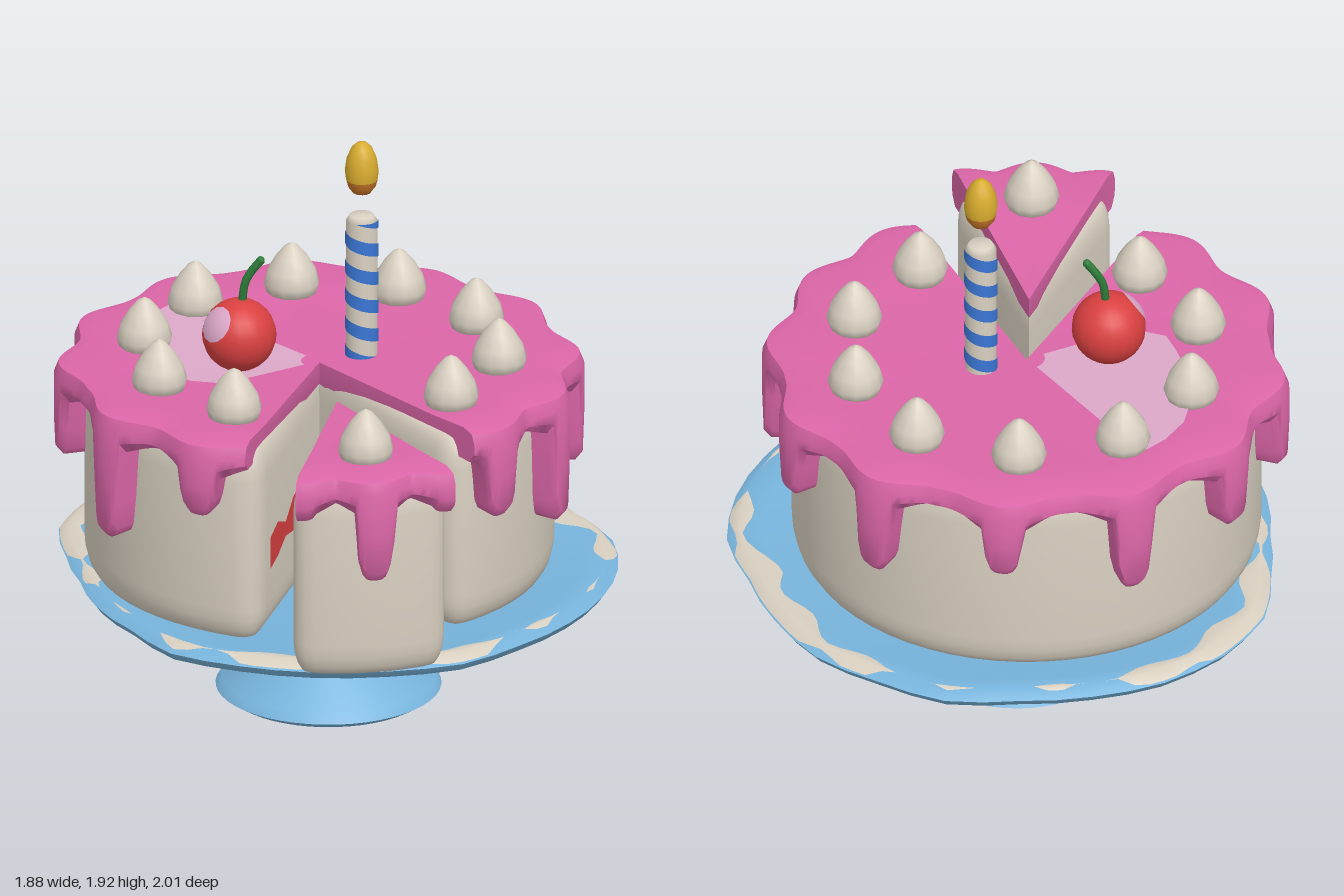
import * as THREE from 'three';
import { toCreasedNormals } from 'three/addons/utils/BufferGeometryUtils.js';

const RAD = Math.PI / 180;

function material(name, color, side = THREE.FrontSide) {
  const m = new THREE.MeshStandardMaterial({ color, side });
  m.name = name;
  return m;
}

const mats = {
  cream: material('cream', 0xd9d0c1),
  rim: material('cream', 0xd9d0c1, THREE.DoubleSide),
  plate: material('plateBlue', 0x78b4dc),
  pink: material('pinkIcing', 0xdc66a8),
  pale: material('paleShine', 0xdca8c8, THREE.DoubleSide),
  red: material('red', 0xda4040, THREE.DoubleSide),
  green: material('stemGreen', 0x2c7a38),
  blue: material('candleBlue', 0x3a76d4),
  yellow: material('flameYellow', 0xd8ac2e),
  orange: material('flameOrange', 0xc9762a),
};
mats.rim = mats.cream;

// Sweeps a (radius, height) section around y; angles in degrees from +z towards +x.
function sweep(a0, a1, step, section, capped = false, crease = 0.9) {
  const pos = [], index = [];
  const n = Math.ceil((a1 - a0) / step);
  let m = 0;
  for (let i = 0; i <= n; i++) {
    const a = a0 + (a1 - a0) * i / n;
    const pts = section(a);
    m = pts.length;
    for (const [r, y] of pts) pos.push(r * Math.sin(a * RAD), y, r * Math.cos(a * RAD));
  }
  for (let i = 0; i < n; i++) {
    for (let j = 0; j < m - 1; j++) {
      const a = i * m + j, b = a + m;
      index.push(a, a + 1, b, b, a + 1, b + 1);
    }
  }
  if (capped) {
    const e = n * m;
    for (let j = 0; j < m - 2; j++) {
      index.push(m - 1, j + 1, j, e + m - 1, e + j, e + j + 1);
    }
  }
  const g = new THREE.BufferGeometry();
  g.setAttribute('position', new THREE.Float32BufferAttribute(pos, 3));
  g.setIndex(index);
  return toCreasedNormals(g, crease);
}

function add(parent, name, geometry, mat, x = 0, y = 0, z = 0) {
  const mesh = new THREE.Mesh(geometry, mat);
  mesh.name = name;
  mesh.position.set(x, y, z);
  parent.add(mesh);
  return mesh;
}

const lathe = (pts, sides) =>
  new THREE.LatheGeometry(pts.map(([r, y]) => new THREE.Vector2(r, y)), sides);

// Uneven plate edge, one radius every 15 degrees
const edge = [.94, .95, .96, .98, .95, .945, .945, .95, .95, .91, .92, .94,
  .93, .95, .92, .93, .95, .95, .93, .86, .83, .85, .87, .94];
function plateRadius(a) {
  const t = (((a % 360) + 360) % 360) / 15, i = Math.floor(t), f = t - i;
  return edge[i % 24] * (1 - f) + edge[(i + 1) % 24] * f;
}

// Sponge wedge with rounded corners and softened top and bottom
function spongeGeometry(a0, a1, r) {
  const at = (a, s = r) => [s * Math.sin(a * RAD), -s * Math.cos(a * RAD)];
  const c = 7;
  const shape = new THREE.Shape();
  shape.moveTo(0, 0);
  shape.lineTo(...at(a0, r * 0.87));
  shape.quadraticCurveTo(...at(a0), ...at(a0 + c));
  const n = Math.ceil((a1 - a0 - 2 * c) / 6);
  for (let i = 1; i <= n; i++) shape.lineTo(...at(a0 + c + (a1 - a0 - 2 * c) * i / n));
  shape.quadraticCurveTo(...at(a1), ...at(a1, r * 0.87));
  const g = new THREE.ExtrudeGeometry(shape, {
    depth: 0.45, bevelThickness: 0.11, bevelSize: 0.045, bevelOffset: -0.045,
    bevelSegments: 4, curveSegments: 5,
  });
  g.rotateX(-Math.PI / 2);
  g.translate(0, 0.58, 0);
  return toCreasedNormals(g, 0.7);
}

// Icing cap whose edge swells and runs down at each drip [angle, bottom height]
function icingGeometry(a0, a1, R0, drips) {
  return sweep(a0, a1, 1, (a) => {
    let bump = 0, low = 1.1;
    for (const [c, y] of drips) {
      const d = Math.abs(a - c);
      if (d < 14) bump = Math.max(bump, 0.5 + 0.5 * Math.cos(d / 14 * Math.PI));
      const w = 4.3 * 0.86 / R0;
      if (d < w) low = Math.min(low, 1.08 - (1.08 - y) * Math.sqrt(1 - (d / w) ** 4));
    }
    low = Math.min(low, 1.1 - 0.05 * bump);
    const R = R0 + 0.055 * bump, inner = R0 - 0.08;
    return [[0, 1.165], [R0 - 0.2, 1.18], [R - 0.06, 1.19], [R - 0.015, 1.178], [R, 1.14],
      [R, (1.14 + low) / 2], [R - 0.005, low + 0.03], [R - 0.03, low], [inner, low + 0.01], [0, 1.09]];
  }, true);
}

// Thin jam strip lying on a cut wall
function jamGeometry(length) {
  const top = [.80, .78, .84, .83, .78, .82, .80], bottom = [.71, .72, .69, .71, .73, .70, .69];
  const xs = top.map((_, i) => 0.05 + (length - 0.05) * i / 6);
  const pts = xs.map((x, i) => new THREE.Vector2(x, top[i]));
  for (let i = 6; i >= 0; i--) pts.push(new THREE.Vector2(xs[i], bottom[i]));
  return new THREE.ShapeGeometry(new THREE.Shape(pts));
}

function cakePiece(name, x, z, sponge, icing, r, icingR, drips) {
  const piece = new THREE.Group();
  piece.name = name;
  piece.position.set(x, 0, z);
  add(piece, 'sponge', spongeGeometry(...sponge, r), mats.cream);
  add(piece, 'icing', icingGeometry(...icing, icingR, drips), mats.pink);
  sponge.forEach((a, i) => {
    const o = (i ? 1 : -1) * 0.004;
    const jam = add(piece, 'jamFilling', jamGeometry(r * 0.84), mats.red,
      o * Math.cos(a * RAD), 0, -o * Math.sin(a * RAD));
    jam.rotation.y = (a - 90) * RAD;
  });
  return piece;
}

export function createModel() {
  const model = new THREE.Group();
  model.name = 'cakeOnStand';

  // Cake stand
  add(model, 'cakeStand', sweep(0, 360, 7.5, (a) => {
    const R = plateRadius(a);
    return [[0, .465], [R - .12, .46], [R - .04, .478], [R, .452], [R - .02, .425], [R - .12, .395],
      [.5, .372], [.22, .34], [.135, .27], [.13, .22], [.2, .14], [.35, .06], [.37, .03], [.33, .005], [0, 0]];
  }), mats.plate, -0.005, 0, -0.06);

  // Worn cream edge on the plate
  add(model, 'plateRim', sweep(0, 360, 3, (a) => {
    const R = plateRadius(a) - .04;
    const w = Math.max(0, .022 + .04 * Math.sin(3 * a * RAD + .3) + .025 * Math.sin(17 * a * RAD));
    return [[R - w, .482 - w * .225], [R, .482], [R + Math.min(w, .036), .482 - Math.min(w, .036) * .65]];
  }), mats.cream, -0.005, 0, -0.06);

  // Main cake and the slice pulled out of it
  const cake = cakePiece('mainCake', -0.03, -0.04, [52, 363.5], [55.5, 361], 0.77, 0.815, [
    [63, .87], [87, .74], [113, .8], [143, .88], [173, .81], [204, .9],
    [234, .8], [263, .87], [290, .86], [323, .75], [350, .93]]);
  const slice = cakePiece('cakeSlice', 0.13, 0.26, [5, 51], [8, 48.5], 0.7, 0.715,
    [[8, 1.04], [28, .83], [48.5, 1.04]]);
  model.add(cake, slice);

  // Shine on the icing
  const shine = [.67, .66, .64, .6, .55, .52, .49, .47, .38];
  add(cake, 'icingShine', sweep(-117, -37, 10, (a) => {
    const r = shine[Math.round((a + 117) / 10)];
    return [[.06, .06], [r / 2, r / 2], [r, r]].map(([s]) => [s, 1.17 + s * .0246]);
  }), mats.pale);

  // Piped cream drops
  const drop = lathe([[0, 1.165], [.08, 1.17], [.092, 1.21], [.08, 1.255], [.05, 1.305], [.022, 1.338], [0, 1.35]], 12);
  for (const [x, z] of [[-.3, -.57], [.05, -.63], [.37, -.47], [.55, -.16], [.5, .19],
    [-.55, -.32], [-.61, .03], [-.45, .36], [-.14, .52], [.38, .72]]) {
    add(model, 'creamDrop', drop, mats.cream, x, 0, z);
  }

  // Cherry with shine and stem
  const cherry = new THREE.Group();
  cherry.name = 'cherry';
  cherry.position.set(-0.26, 1.29, 0.1);
  add(cherry, 'cherryFruit', new THREE.SphereGeometry(0.122, 20, 14), mats.red);
  const glint = add(cherry, 'cherryShine', new THREE.SphereGeometry(0.1255, 12, 5, 0, Math.PI * 2, 0, 0.52), mats.pale);
  glint.quaternion.setFromUnitVectors(new THREE.Vector3(0, 1, 0), new THREE.Vector3(-.48, .52, .7).normalize());
  const stem = new THREE.CatmullRomCurve3([[.005, .1, -.01], [.015, .18, -.015], [.035, .22, -.025], [.062, .255, -.035]]
    .map((p) => new THREE.Vector3(...p)));
  add(cherry, 'cherryStem', new THREE.TubeGeometry(stem, 8, 0.014, 7), mats.green);
  add(cherry, 'stemTip', new THREE.SphereGeometry(0.0145, 8, 6), mats.green, .062, .255, -.035);
  model.add(cherry);

  // Striped candle and flame
  const candle = new THREE.Group();
  candle.name = 'candle';
  candle.position.set(0.08, 0, -0.15);
  add(candle, 'candleStick', lathe([[.052, 1.15], [.052, 1.64], [.04, 1.66], [0, 1.662]], 16), mats.cream);
  const fit = (y) => Math.min(1.645, Math.max(1.16, y));
  add(candle, 'candleStripe', sweep(0, 360 * 5.5, 15, (a) => {
    const y = 1.69 - 0.1 * a / 360;
    return [[.055, fit(y)], [.055, fit(y - .046)]];
  }), mats.blue);
  add(candle, 'flameBase', lathe([[0, 1.733], [.03, 1.74], [.046, 1.762], [.052, 1.785]], 14), mats.orange);
  add(candle, 'flame', lathe([[.052, 1.785], [.056, 1.815], [.05, 1.86], [.034, 1.897], [.016, 1.914], [0, 1.918]], 14), mats.yellow);
  model.add(candle);

  return model;
}
